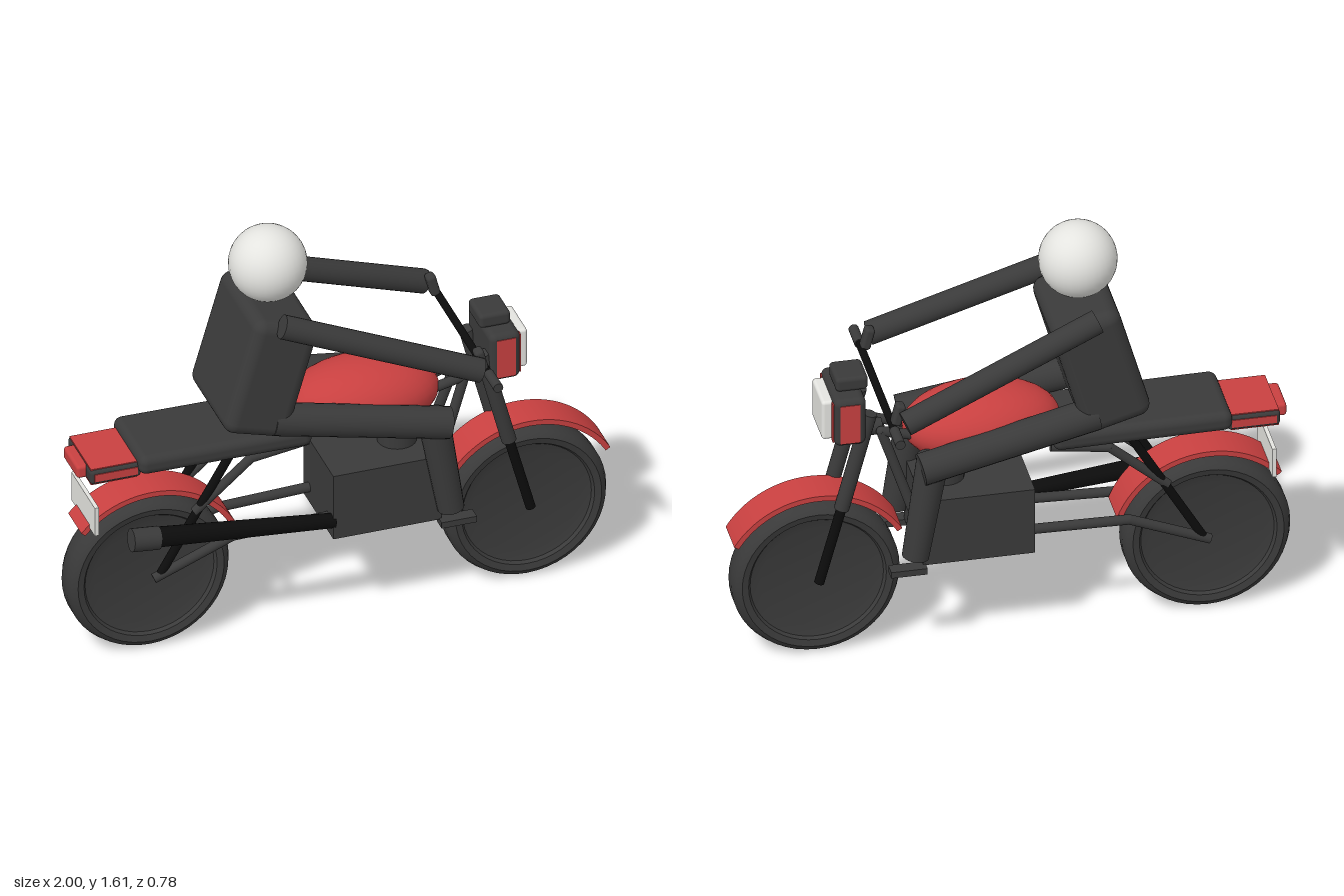
import * as THREE from 'three';
import { toCreasedNormals } from 'three/addons/utils/BufferGeometryUtils.js';
import { RoundedBoxGeometry } from 'three/addons/geometries/RoundedBoxGeometry.js';

const material = (name, color) => {
  const m = new THREE.MeshStandardMaterial({ color });
  m.name = name;
  return m;
};
const dark = material('charcoal', 0x3a3a3a);
const black = material('black', 0x0c0c0c);
const red = material('red', 0xc84040);
const white = material('white', 0xe4e4e0);

export function createModel() {
  const root = new THREE.Group();
  root.name = 'motorcycleAndRider';

  const add = (name, geometry, mat, x = 0, y = 0, z = 0) => {
    const mesh = new THREE.Mesh(geometry, mat);
    mesh.name = name;
    mesh.position.set(x, y, z);
    root.add(mesh);
    return mesh;
  };
  const box = (name, mat, [w, h, d], [x, y, z]) =>
    add(name, new THREE.BoxGeometry(w, h, d), mat, x, y, z);
  const softBox = (name, mat, [w, h, d], [x, y, z], r) =>
    add(name, new RoundedBoxGeometry(w, h, d, 3, r), mat, x, y, z);

  // Straight rod between two points, radius ra at the first, rb at the second
  const rod = (name, mat, a, b, ra, rb = ra) => {
    const from = new THREE.Vector3(...a), to = new THREE.Vector3(...b);
    const dir = to.clone().sub(from);
    const mesh = add(name, new THREE.CylinderGeometry(rb, ra, dir.length(), 20), mat);
    mesh.position.copy(from).add(to).multiplyScalar(0.5);
    mesh.quaternion.setFromUnitVectors(new THREE.Vector3(0, 1, 0), dir.normalize());
    return mesh;
  };
  // Bent tube made of rods joined by round elbows
  const pipe = (name, mat, points, r) => {
    points.forEach((p, i) => {
      if (i) rod(name, mat, points[i - 1], p, r);
      if (i && i < points.length - 1) add(name + 'Elbow', new THREE.SphereGeometry(r, 12, 8), mat, ...p);
    });
  };

  // Wheels: solid tyre with a shallow dished hub
  const half = [[0, 0.045], [0.2, 0.036], [0.238, 0.046], [0.246, 0.058],
    [0.27, 0.064], [0.29, 0.05], [0.3, 0.025]];
  const profile = [...half.map(([r, y]) => [r, -y]), ...half.slice().reverse()]
    .map(([r, y]) => new THREE.Vector2(r, y));
  const wheelGeometry = toCreasedNormals(new THREE.LatheGeometry(profile, 48).rotateX(Math.PI / 2), 0.6);
  add('rearWheel', wheelGeometry, dark, -0.7, 0.3, 0);
  add('frontWheel', wheelGeometry, dark, 0.695, 0.3, 0);

  // Mudguards: arcs concentric with the wheels
  const mudguard = (name, x, fromDeg, toDeg) => {
    const a = THREE.MathUtils.degToRad(fromDeg), b = THREE.MathUtils.degToRad(toDeg);
    const shape = new THREE.Shape();
    shape.absarc(0, 0, 0.35, a, b, false);
    shape.absarc(0, 0, 0.33, b, a, true);
    const geometry = new THREE.ExtrudeGeometry(shape, { depth: 0.14, bevelEnabled: false, curveSegments: 24 });
    add(name, toCreasedNormals(geometry, 0.5), red, x, 0.3, -0.07);
  };
  mudguard('frontMudguard', 0.695, 31, 149);
  mudguard('rearMudguard', -0.7, 20, 138);

  // Engine, with its cylinder
  box('engineBlock', dark, [0.4, 0.26, 0.32], [0.14, 0.505, 0]);
  add('engineCylinder', new THREE.CylinderGeometry(0.07, 0.07, 0.2, 24), dark, 0.23, 0.7, 0);

  // Exhaust on one side
  rod('exhaustPipe', black, [-0.05, 0.44, 0.14], [-0.72, 0.51, 0.14], 0.027, 0.037);
  rod('mufflerTip', dark, [-0.7, 0.505, 0.14], [-0.8, 0.515, 0.14], 0.042);

  // Tank and seat
  const tank = add('fuelTank', new THREE.SphereGeometry(1, 32, 20), red, 0.1, 0.85, 0);
  tank.scale.set(0.28, 0.138, 0.175);
  const seat = softBox('seat', dark, [0.64, 0.075, 0.31], [-0.45, 0.81, 0], 0.03);
  seat.rotation.z = -0.01;

  // Tail unit: dark rim with red faces, lamp behind, number plate below
  softBox('tailHousing', dark, [0.19, 0.058, 0.25], [-0.85, 0.79, 0], 0.015);
  for (const s of [1, -1]) {
    box('tailPanel', red, [0.17, 0.006, 0.23], [-0.855, 0.79 + s * 0.029, 0]);
    box('tailSidePanel', red, [0.16, 0.03, 0.006], [-0.85, 0.79, s * 0.125]);
  }
  softBox('tailLamp', red, [0.045, 0.05, 0.15], [-0.955, 0.79, 0], 0.012);
  box('numberPlate', white, [0.015, 0.115, 0.25], [-0.922, 0.608, 0]);

  // Parts mirrored on both sides
  for (const s of [1, -1]) {
    // Front fork
    rod('forkUpper', dark, [0.515, 0.98, s * 0.085], [0.615, 0.6, s * 0.085], 0.027);
    rod('forkLower', black, [0.61, 0.62, s * 0.085], [0.695, 0.305, s * 0.085], 0.018);
    // Frame, swing arm and shock absorber
    pipe('frameDownTube', dark,
      [[0.34, 0.84, s * 0.04], [0.465, 0.875, s * 0.045], [0.36, 0.56, s * 0.07]], 0.018);
    pipe('rearFrame', dark,
      [[-0.13, 0.76, s * 0.09], [-0.34, 0.73, s * 0.09], [-0.55, 0.55, s * 0.09]], 0.017);
    pipe('swingArm', dark,
      [[-0.05, 0.435, s * 0.1], [-0.41, 0.425, s * 0.095], [-0.7, 0.305, s * 0.09]], 0.018);
    rod('shockAbsorber', black, [-0.4, 0.79, s * 0.09], [-0.68, 0.31, s * 0.09], 0.016);
    box('footPeg', dark, [0.13, 0.024, 0.05], [0.395, 0.367, s * 0.165]);
    // Handlebar ends
    rod('handlebarGrip', dark, [0.47, 1.03, s * 0.29], [0.47, 1.03, s * 0.39], 0.018);
    const control = softBox('handlebarControl', dark, [0.035, 0.085, 0.045], [0.45, 1.075, s * 0.255], 0.012);
    control.rotation.z = 0.25;
    // Rider's limbs
    rod('arm', dark, [-0.27, 1.338, s * 0.22], [0.435, 1.06, s * 0.305], 0.044);
    rod('thigh', dark, [-0.28, 0.915, s * 0.15], [0.355, 0.795, s * 0.198], 0.06, 0.058);
    rod('shin', dark, [0.305, 0.82, s * 0.165], [0.37, 0.425, s * 0.172], 0.058, 0.048);
    // Headlamp side panels and front trim
    box('headlampSidePanel', red, [0.07, 0.155, 0.008], [0.592, 0.968, s * 0.123]);
    box('headlampTrim', red, [0.008, 0.155, 0.02], [0.647, 0.968, s * 0.098]);
  }
  rod('handlebar', black, [0.47, 1.03, -0.385], [0.47, 1.03, 0.385], 0.014);
  rod('steeringHead', dark, [0.455, 0.87, 0], [0.54, 0.87, 0], 0.03);

  // Headlamp and instrument pod
  softBox('headlampHousing', dark, [0.115, 0.19, 0.25], [0.59, 0.97, 0], 0.025);
  softBox('headlampLens', white, [0.045, 0.155, 0.17], [0.662, 0.968, 0], 0.012);
  softBox('instrumentPod', dark, [0.115, 0.055, 0.13], [0.572, 1.092, 0], 0.015);

  // Rider's torso and helmet
  const torso = softBox('torso', dark, [0.25, 0.46, 0.405], [-0.295, 1.1, 0], 0.045);
  torso.rotation.z = -0.28;
  add('helmet', new THREE.SphereGeometry(0.139, 32, 20), white, -0.247, 1.466, 0);

  return root;
}
